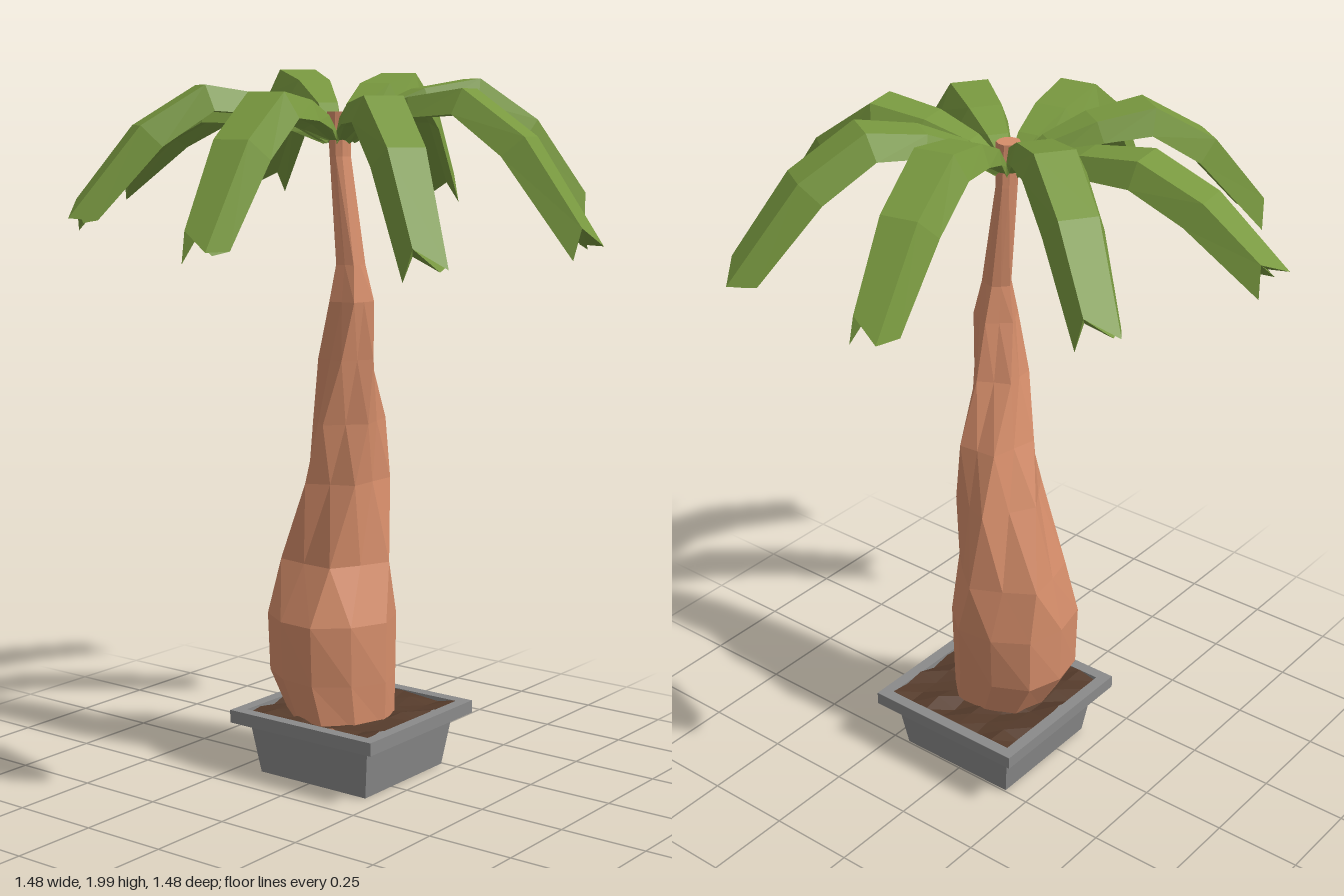
import * as THREE from 'three';

const mat = (color) => new THREE.MeshStandardMaterial({ color, flatShading: true });
const leafMat = mat(0x78983f), trunkMat = mat(0xd58d6a), soilMat = mat(0x553b2b), potMat = mat(0x8a8a8a);

// Skins a list of equal-length rings of Vector3 into a closed, faceted solid
function loft(rings) {
  const pos = [], n = rings[0].length;
  const tri = (...pts) => pts.forEach((p) => pos.push(p.x, p.y, p.z));
  for (let k = 0; k < rings.length - 1; k++) {
    for (let i = 0; i < n; i++) {
      const j = (i + 1) % n;
      const a = rings[k][i], b = rings[k][j], c = rings[k + 1][j], d = rings[k + 1][i];
      tri(a, c, b);
      tri(a, d, c);
    }
  }
  const first = rings[0], last = rings[rings.length - 1];
  for (let i = 2; i < n; i++) {
    const j = (i + 1) % n;
    tri(first[1], first[i], first[j]);
    tri(last[1], last[j], last[i]);
  }
  const g = new THREE.BufferGeometry();
  g.setAttribute('position', new THREE.Float32BufferAttribute(pos, 3));
  g.computeVertexNormals();
  return g;
}

function add(parent, name, geometry, material) {
  const mesh = new THREE.Mesh(geometry, material);
  mesh.name = name;
  parent.add(mesh);
}

// Square tapered pot with a flat rim and lumpy soil
function makePot() {
  const pot = new THREE.Group();
  pot.name = 'pot';
  pot.position.set(0.013, 0, -0.06);

  const body = new THREE.CylinderGeometry(0.208 * Math.SQRT2, 0.185 * Math.SQRT2, 0.155, 4);
  body.rotateY(Math.PI / 4).translate(0, 0.0775, 0);
  add(pot, 'potBody', body, potMat);

  const square = (shape, h) => shape.moveTo(-h, -h).lineTo(h, -h).lineTo(h, h).lineTo(-h, h).closePath();
  const outline = square(new THREE.Shape(), 0.248);
  outline.holes.push(square(new THREE.Path(), 0.214));
  const rim = new THREE.ExtrudeGeometry(outline, { depth: 0.037, bevelEnabled: false });
  rim.rotateX(-Math.PI / 2).translate(0, 0.15, 0);
  add(pot, 'potRim', rim, potMat);

  const soil = new THREE.PlaneGeometry(0.428, 0.428, 7, 7).rotateX(-Math.PI / 2);
  const p = soil.attributes.position;
  for (let i = 0; i < p.count; i++) {
    const x = p.getX(i), z = p.getZ(i);
    p.setY(i, 0.181 + 0.013 * Math.sin(x * 41 + z * 17) * Math.cos(z * 37 - x * 11));
  }
  add(pot, 'soil', soil, soilMat);
  return pot;
}

// Swollen, twisted trunk: [y, xMin, xMax, zMin, zMax, twist, groove]
function makeTrunk() {
  const sections = [
    [0.16, -0.13, 0.155, -0.17, 0.125, 0.05, 0.95],
    [0.29, -0.205, 0.155, -0.19, 0.14, 0.05, 0.95],
    [0.46, -0.205, 0.148, -0.21, 0.155, 0, 0.95],
    [0.62, -0.19, 0.12, -0.205, 0.1, -0.2, 0.84],
    [0.85, -0.12, 0.105, -0.19, 0.085, -0.65, 0.8],
    [1.02, -0.075, 0.108, -0.155, 0.082, -1.0, 0.8],
    [1.2, -0.035, 0.118, -0.08, 0.08, -1.4, 0.78],
    [1.36, 0.0, 0.127, -0.042, 0.075, -1.7, 0.8],
    [1.46, 0.02, 0.105, -0.018, 0.058, -1.8, 0.85],
    [1.75, 0.0, 0.052, -0.017, 0.047, -1.9, 0.95],
    [1.87, -0.01, 0.052, -0.017, 0.047, -1.9, 0.95],
  ];
  const sides = 10;
  const rings = sections.map(([y, x0, x1, z0, z1, twist, groove]) =>
    Array.from({ length: sides }, (_, i) => {
      const a = (i / sides) * Math.PI * 2 + twist;
      const r = 1.05 * (i % 2 ? groove : 1);
      return new THREE.Vector3(
        (x0 + x1) / 2 + Math.cos(a) * r * (x1 - x0) / 2,
        y,
        (z0 + z1) / 2 + Math.sin(a) * r * (z1 - z0) / 2
      );
    })
  );
  return loft(rings);
}

// Arched leaf: broad flat top, sides folded down, hollow underside, ragged tip
function makeLeaf(tipX, tipZ, peak, tipY) {
  const cx = 0.02, cz = 0.013, base = 1.8;
  const length = Math.hypot(tipX - cx, tipZ - cz);
  const ux = (tipX - cx) / length, uz = (tipZ - cz) / length;
  const path = [
    [0.03, base + 0.01], [0.14, base + (peak - base) * 0.5], [0.31, base + (peak - base) * 0.83],
    [0.53, peak], [0.77, tipY + (peak - tipY) * 0.69], [1.01, tipY + 0.02],
  ].map(([f, y]) => new THREE.Vector2(f * length, y));
  const halfWidth = [0.018, 0.044, 0.07, 0.082, 0.078, 0.062];
  const drop = [0.03, 0.04, 0.055, 0.07, 0.075, 0.06];

  const rings = path.map((p, k) => {
    const t = path[Math.min(k + 1, 5)].clone().sub(path[Math.max(k - 1, 0)]).normalize();
    // s: across, down: below the top face, along: towards the tip
    const point = (s, down, along) => {
      const r = p.x + t.y * down + t.x * along;
      const y = p.y - t.x * down + t.y * along;
      return new THREE.Vector3(cx + ux * r + uz * s, y, cz + uz * r - ux * s);
    };
    const w = halfWidth[k], d = drop[k], rag = k === 5 ? 0.03 : 0;
    return [
      point(-w, d, rag), point(-w * 0.7, 0, -rag), point(w * 0.6, 0, rag),
      point(w, d, -rag * 0.4), point(w * 0.5, d * 0.65, rag * 0.5), point(-w * 0.5, d * 0.65, -rag),
    ];
  });
  return loft(rings);
}

export function createModel() {
  const model = new THREE.Group();
  model.name = 'pottedPalm';
  model.add(makePot());
  add(model, 'trunk', makeTrunk(), trunkMat);

  // Crown: tip x, tip z, peak height, tip height
  const crown = new THREE.Group();
  crown.name = 'crown';
  [
    [-0.14, -0.72, 1.98, 1.64], [0.41, -0.62, 1.96, 1.6],
    [0.72, -0.14, 1.93, 1.53], [0.6, 0.41, 1.91, 1.5],
    [0.13, 0.72, 1.92, 1.54], [-0.39, 0.61, 1.94, 1.6],
    [-0.72, 0.13, 1.91, 1.66], [-0.6, -0.42, 1.99, 1.67],
  ].forEach((leaf, i) => add(crown, `leaf${i + 1}`, makeLeaf(...leaf), leafMat));
  model.add(crown);
  return model;
}
